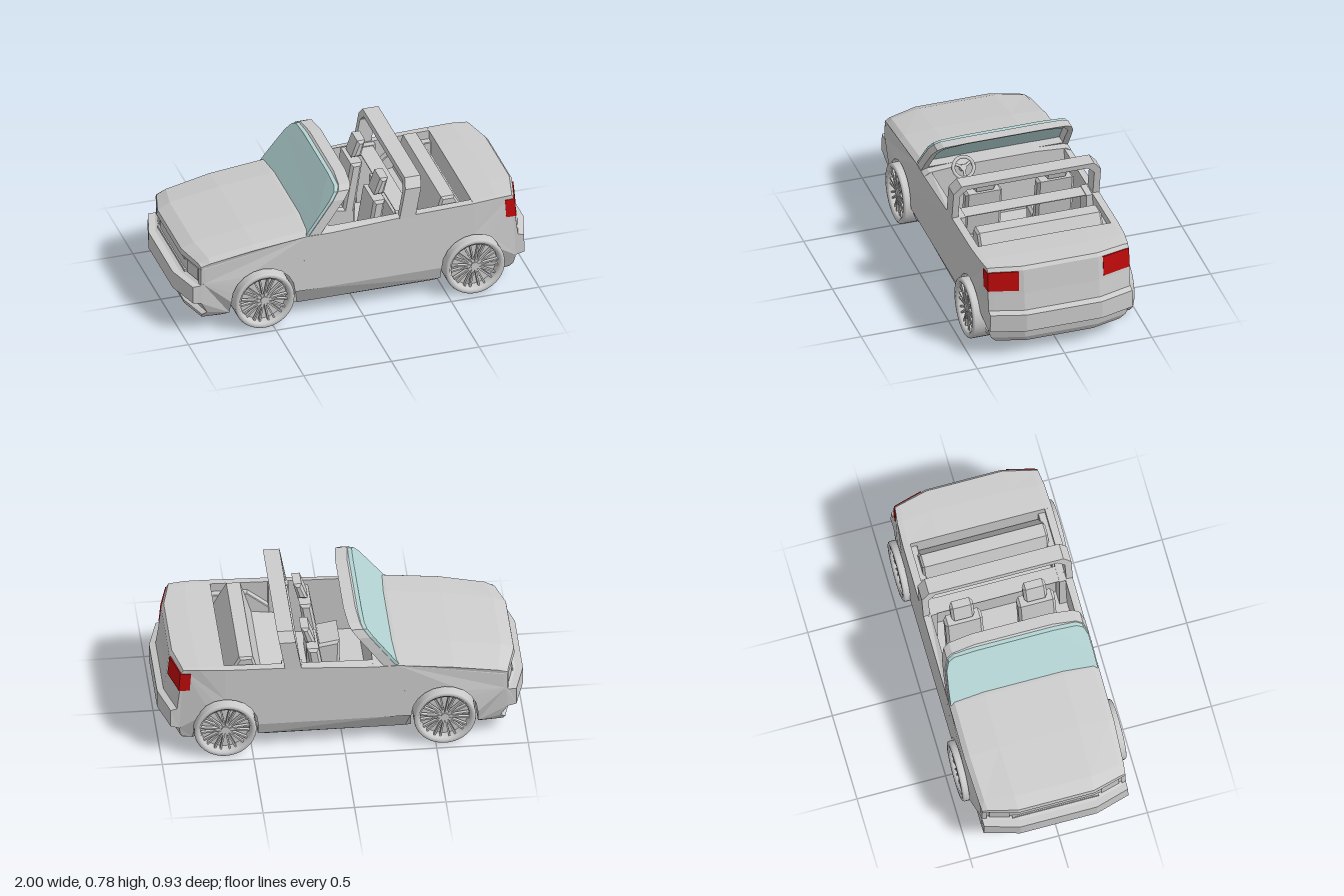
import * as THREE from 'three';

const mat = (color) => new THREE.MeshStandardMaterial({ color, side: THREE.DoubleSide });
const grey = mat(0xcccccc);
const red = mat(0xc00a0a);
const glassMat = mat(0xb4d4d4);

// Piecewise linear lookup through [input, output] pairs
function lerpTable(table, v) {
  if (v <= table[0][0]) return table[0][1];
  for (let i = 1; i < table.length; i++) {
    const [a, fa] = table[i - 1], [b, fb] = table[i];
    if (v <= b) return fa + (fb - fa) * (v - a) / (b - a);
  }
  return table[table.length - 1][1];
}

const HALF_WIDTH = [[0.075, 0.37], [0.1, 0.4], [0.18, 0.43], [0.6, 0.42]];
const CORNER = [[0.53, 0], [1, 0.055]];
const SHOULDER = [[0.53, 0], [0.93, 0.4], [1, 1]];
const CROWN = [[-0.2, 0.035], [0.3, 0.005]];

const shapeOf = (pts) => new THREE.Shape(pts.map(([x, y]) => new THREE.Vector2(x, y)));

function add(parent, name, geometry, material = grey) {
  const mesh = new THREE.Mesh(geometry, material);
  mesh.name = name;
  parent.add(mesh);
  return mesh;
}

// Side profile extruded across the car, then bent into the rounded plan and crowned top
function bodyGeometry(profile, slices) {
  const n = slices.length - 1;
  const g = new THREE.ExtrudeGeometry(shapeOf(profile), { depth: n, steps: n, bevelEnabled: false });
  const p = g.attributes.position;
  for (let i = 0; i < p.count; i++) {
    const x = p.getX(i), y = p.getY(i), t = slices[Math.round(p.getZ(i))];
    const end = THREE.MathUtils.clamp((Math.abs(x) - 0.74) / 0.22, 0, 1);
    const top = THREE.MathUtils.clamp((y - 0.4) / 0.06, 0, 1);
    p.setXYZ(i,
      x - Math.sign(x) * end * lerpTable(CORNER, Math.abs(t)),
      y - top * lerpTable(SHOULDER, Math.abs(t)) * lerpTable(CROWN, x),
      t * lerpTable(HALF_WIDTH, y) * (1 - 0.05 * end));
  }
  g.computeVertexNormals();
  return g;
}

function bodyPair(parent, name, profile, slices, material) {
  add(parent, name + 'Left', bodyGeometry(profile, slices), material);
  add(parent, name + 'Right', bodyGeometry(profile, slices.map((s) => -s).reverse()), material);
}

// Wheel arch points from angle a to b (degrees)
function arch(cx, a, b, n) {
  return Array.from({ length: n + 1 }, (_, i) => {
    const th = THREE.MathUtils.degToRad(a + (b - a) * i / n);
    return [cx + 0.182 * Math.cos(th), 0.18 + 0.176 * Math.sin(th)];
  });
}

// Frame or pane drawn in the z-y plane, given thickness along x and leaned by a rule x = lean(y, z)
function leaningGeometry(outline, hole, thickness, lean) {
  const shape = shapeOf(outline);
  if (hole) shape.holes.push(new THREE.Path(hole.map(([x, y]) => new THREE.Vector2(x, y))));
  const g = new THREE.ExtrudeGeometry(shape, { depth: thickness, bevelEnabled: false });
  g.rotateY(Math.PI / 2);
  const p = g.attributes.position;
  for (let i = 0; i < p.count; i++) p.setX(i, p.getX(i) + lean(p.getY(i), p.getZ(i)));
  g.computeVertexNormals();
  return g;
}

// Mirror a half outline listed from the bottom up
const symmetric = (half) => [...half, ...half.map(([x, y]) => [-x, y]).reverse()];

// Chamfered slab from a side profile, centred across z
function slab(pts, width, chamfer) {
  const g = new THREE.ExtrudeGeometry(shapeOf(pts), {
    depth: width - 2 * chamfer, bevelSize: chamfer, bevelThickness: chamfer, bevelOffset: -chamfer, bevelSegments: 1 });
  return g.translate(0, 0, chamfer - width / 2);
}

function makeWheel() {
  const wheel = new THREE.Group();
  const ring = [[0.145, 0], [0.16, 0], [0.167, 0.004], [0.17, 0.012], [0.17, 0.166], [0.167, 0.174],
    [0.16, 0.178], [0.147, 0.178], [0.143, 0.17], [0.137, 0.17], [0.133, 0.155], [0.133, 0.1], [0.14, 0.02], [0.145, 0]];
  const lathe = (pts) => new THREE.LatheGeometry(pts.map(([r, y]) => new THREE.Vector2(r, y)), 40).rotateX(Math.PI / 2);
  add(wheel, 'tyre', lathe(ring));
  const disc = new THREE.CylinderGeometry(0.136, 0.136, 0.012, 40).rotateX(Math.PI / 2);
  add(wheel, 'rimBack', disc).position.z = 0.12;
  const hub = new THREE.CylinderGeometry(0.022, 0.028, 0.045, 16).rotateX(Math.PI / 2);
  add(wheel, 'hub', hub).position.z = 0.143;
  for (let i = 0; i < 20; i++) {
    const a = (Math.floor(i / 2) + (i % 2 ? 0.2 : -0.2)) * Math.PI / 5;
    const spoke = add(wheel, 'spoke', new THREE.BoxGeometry(0.118, 0.009, 0.02).translate(0.077, 0, 0));
    spoke.position.z = 0.15;
    spoke.rotation.z = a;
  }
  return wheel;
}

export function createModel() {
  const car = new THREE.Group();
  car.name = 'convertible';
  const full = [-1, -0.93, -0.53, 0.53, 0.93, 1];

  // Nose with bonnet, bumper, chin and front arches
  add(car, 'nose', bodyGeometry([
    [-0.16, 0.18], [-0.16, 0.545], [-0.3, 0.548], [-0.6, 0.515], [-0.88, 0.468], [-0.95, 0.435],
    [-0.955, 0.405], [-0.935, 0.4], [-0.935, 0.31], [-0.96, 0.3], [-1, 0.3], [-1, 0.2], [-0.95, 0.19],
    [-0.9, 0.12], [-0.935, 0.105], [-0.925, 0.072], [-0.76, 0.075], [-0.735, 0.1],
    ...arch(-0.55, 180, 0, 10)], full));

  // Tail with boot lid, rear bumper and the back half of the rear arches
  add(car, 'tail', bodyGeometry([
    ...arch(0.65, 90, 0, 5), [0.832, 0.1], [0.85, 0.072], [0.92, 0.075], [0.94, 0.11], [0.95, 0.17], [1, 0.185],
    [1, 0.29], [0.965, 0.3], [0.95, 0.4], [0.935, 0.54], [0.92, 0.558], [0.8, 0.56], [0.65, 0.554]], full));

  // Flanks beside the cabin, and the floor between the axles
  bodyPair(car, 'flank', [[-0.368, 0.18], [-0.368, 0.3], [-0.2, 0.545], [0.3, 0.545], [0.65, 0.554],
    ...arch(0.65, 90, 180, 5)], [0.9, 1]);
  add(car, 'floor', bodyGeometry([[-0.368, 0.19], [-0.368, 0.1], [-0.34, 0.075], [0.44, 0.075],
    [0.468, 0.1], [0.468, 0.19]], [-1, 1]));

  // Headlights, grille slats and corner posts in the front recess
  const recess = (y0, y1, x) => [[-0.92, y0], [x, y0], [x, y1], [-0.92, y1]];
  bodyPair(car, 'headlight', recess(0.315, 0.39, -0.945), [0.64, 0.9]);
  bodyPair(car, 'frontPost', recess(0.3, 0.405, -0.95), [0.94, 1]);
  for (const y of [0.305, 0.385]) add(car, 'grilleSlat', bodyGeometry(recess(y, y + 0.015, -0.95), [-0.6, 0.6]));

  // Tail lights wrapping round the rear corners
  bodyPair(car, 'tailLight', [[0.875, 0.425], [0.954, 0.42], [0.943, 0.535], [0.865, 0.535]],
    [0.6, 0.93, 1.005], red);

  // Windscreen: pane in front, frame behind it
  const screenLean = (y, z) => 0.08 * z * z
    + lerpTable([[0.5, -0.33], [0.6, -0.255], [0.7, -0.178], [0.765, -0.125], [0.78, -0.1]], y);
  add(car, 'windscreenFrame', leaningGeometry(
    symmetric([[0.42, 0.51], [0.415, 0.6], [0.405, 0.7], [0.385, 0.745], [0.35, 0.765], [0.22, 0.776]]),
    symmetric([[0.385, 0.545], [0.38, 0.6], [0.375, 0.7], [0.345, 0.74], [0.22, 0.752]]),
    0.065, (y, z) => screenLean(y, z) + 0.02));
  add(car, 'windscreenGlass', leaningGeometry(
    symmetric([[0.415, 0.515], [0.41, 0.6], [0.4, 0.7], [0.38, 0.742], [0.345, 0.76], [0.22, 0.768]]), null,
    0.022, screenLean), glassMat);

  // Roll hoop
  add(car, 'rollHoop', leaningGeometry(
    symmetric([[0.422, 0.53], [0.422, 0.71], [0.38, 0.76]]),
    symmetric([[0.385, 0.535], [0.385, 0.69], [0.345, 0.73]]), 0.09, (y) => 0.23 + (y - 0.53) * 0.18));
  for (const s of [-1, 1]) {
    add(car, 'hoopLeg', new THREE.BoxGeometry(0.11, 0.36, 0.05)).position.set(0.28, 0.36, s * 0.37);
  }

  // Front seats with headrests
  for (const z of [0.19, -0.22]) {
    const seat = new THREE.Group();
    seat.name = 'frontSeat';
    seat.position.z = z;
    add(seat, 'cushion', slab([[-0.03, 0.18], [0.15, 0.18], [0.15, 0.3], [-0.03, 0.33]], 0.21, 0.015));
    add(seat, 'backrest', slab([[0.07, 0.25], [0.14, 0.25], [0.19, 0.58], [0.125, 0.58]], 0.21, 0.015));
    add(seat, 'headrest', slab([[0.14, 0.595], [0.195, 0.595], [0.22, 0.693], [0.175, 0.693]], 0.13, 0.015));
    add(seat, 'headrestPost', new THREE.BoxGeometry(0.02, 0.06, 0.05)).position.set(0.163, 0.58, 0);
    car.add(seat);
  }

  // Rear bench sloping down to the boot, and the trim on both sides
  add(car, 'rearBench', slab([[0.3, 0.18], [0.46, 0.18], [0.475, 0.365], [0.65, 0.365], [0.645, 0.43], [0.565, 0.577],
    [0.49, 0.577], [0.43, 0.38], [0.3, 0.36]], 0.71, 0.012));
  for (const s of [-1, 1]) {
    const trim = slab([[0.33, 0.19], [0.465, 0.19], [0.475, 0.37], [0.65, 0.37], [0.65, 0.5], [0.45, 0.5], [0.33, 0.4]], 0.05, 0.004);
    add(car, 'rearTrim', trim).position.z = s * 0.365;
  }

  // Steering wheel facing up and back
  const steering = new THREE.Group();
  steering.name = 'steeringWheel';
  add(steering, 'steeringRim', new THREE.TorusGeometry(0.058, 0.01, 8, 24));
  add(steering, 'steeringHub', new THREE.CylinderGeometry(0.018, 0.018, 0.07, 12).rotateX(Math.PI / 2)).position.z = -0.03;
  for (let i = 0; i < 3; i++) {
    const spoke = add(steering, 'steeringSpoke', new THREE.BoxGeometry(0.055, 0.014, 0.008).translate(0.028, 0, 0));
    spoke.rotation.z = -Math.PI / 2 + i * Math.PI * 2 / 3;
  }
  steering.position.set(-0.135, 0.545, 0.205);
  steering.lookAt(-0.135 + 0.085, 0.545 + 0.06, 0.205);
  car.add(steering);

  // Wheels
  for (const [x, axle] of [[-0.55, 'front'], [0.65, 'rear']]) {
    for (const s of [1, -1]) {
      const wheel = makeWheel();
      wheel.name = axle + 'Wheel' + (s > 0 ? 'Left' : 'Right');
      wheel.position.set(x, 0.17, s * 0.285);
      if (s < 0) wheel.rotation.y = Math.PI;
      car.add(wheel);
    }
  }
  return car;
}
